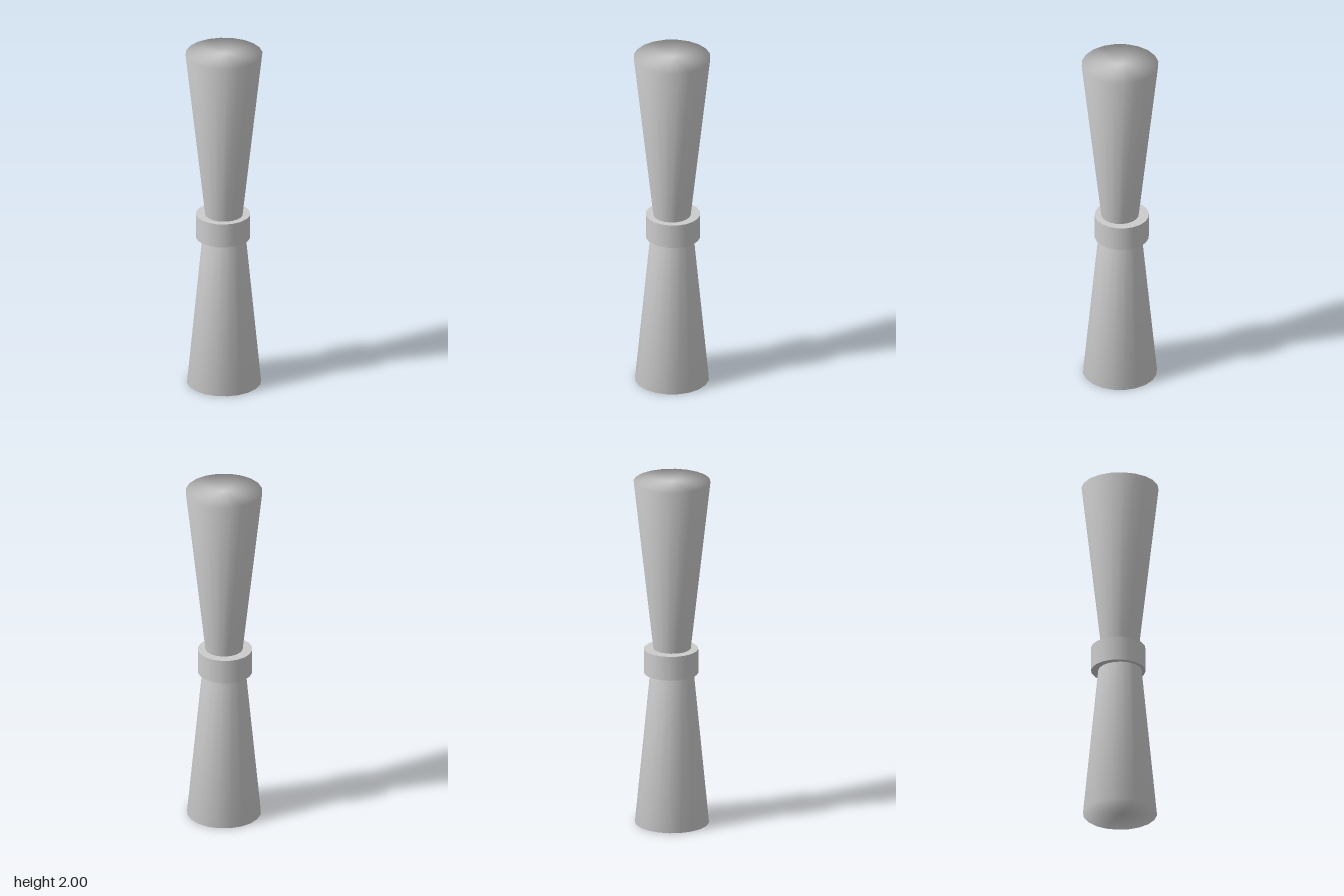
import * as THREE from 'three';
import { mergeVertices } from 'three/addons/utils/BufferGeometryUtils.js';

const SIDES = 20;

// Capped frustum between two heights; soft = shading flows over the rim onto the caps
function frustum(name, rTop, rBottom, y0, y1, material, soft) {
  let geometry = new THREE.CylinderGeometry(rTop, rBottom, y1 - y0, SIDES);
  if (soft) {
    geometry.deleteAttribute('normal');
    geometry.deleteAttribute('uv');
    geometry = mergeVertices(geometry, 1e-4);
    geometry.computeVertexNormals();
  }
  const mesh = new THREE.Mesh(geometry, material);
  mesh.name = name;
  mesh.position.y = (y0 + y1) / 2;
  return mesh;
}

export function createModel() {
  const model = new THREE.Group();
  model.name = 'doubleConeJigger';
  const grey = new THREE.MeshStandardMaterial({ color: 0xcccccc });

  // Two cones meeting, narrow ends together, inside the collar
  const upper = frustum('upperCone', 0.215, 0.097, 0.95, 2, grey, true);
  const lower = frustum('lowerCone', 0.115, 0.207, 0, 0.95, grey, true);

  // Collar around the waist, slightly off-centre
  const collar = frustum('collar', 0.152, 0.152, 0.88, 1.02, grey, false);
  collar.position.x = -0.007;
  collar.position.z = -0.007;

  model.add(upper, lower, collar);
  return model;
}
